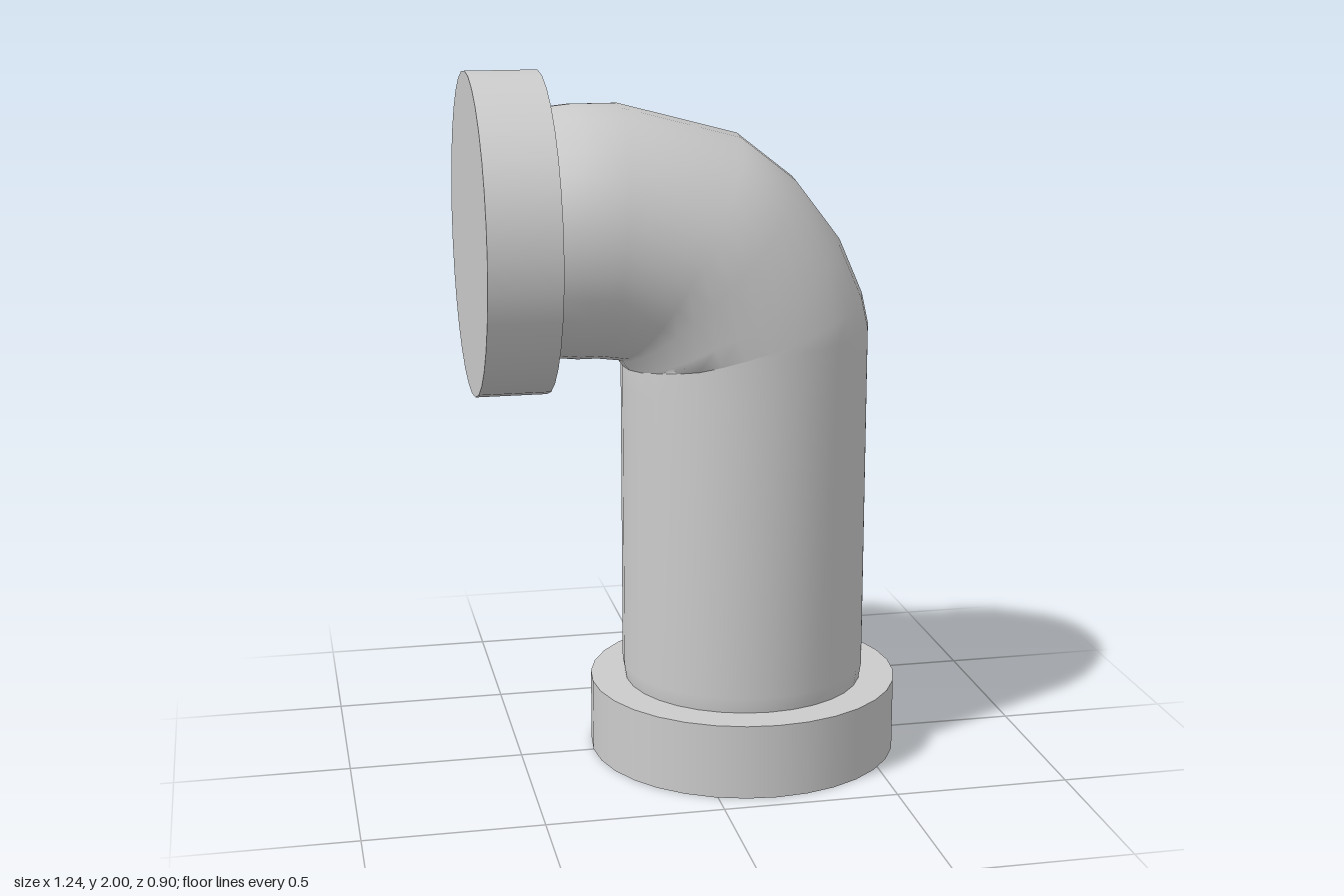
import * as THREE from 'three';

const SIDES = 32;

// Cross-sections of the pipe: outer edge x, y, tilt of the ring in degrees, radius
const RINGS = [
  [0.50, 0.12, 0, 0.335],
  [0.513, 0.215, 0, 0.348],
  [0.52, 0.26, 0, 0.355],
  [0.52, 1.10, 0, 0.355],
  [0.52, 1.27, 4, 0.356],
  [0.50, 1.36, 17, 0.357],
  [0.43, 1.52, 31, 0.358],
  [0.30, 1.69, 45, 0.358],
  [0.14, 1.815, 61, 0.36],
  [-0.20, 1.905, 84, 0.358],
  [-0.33, 1.905, 90, 0.356],
  [-0.42, 1.896, 90, 0.347],
  [-0.50, 1.885, 90, 0.335],
];

// Pipe skin swept through the tilted rings
function bentPipe() {
  const positions = [], index = [];
  RINGS.forEach(([ox, oy, tilt, r], i) => {
    const t = THREE.MathUtils.degToRad(tilt);
    const nx = Math.cos(t), ny = Math.sin(t);
    for (let j = 0; j < SIDES; j++) {
      const a = (j / SIDES) * Math.PI * 2;
      const d = r * (Math.cos(a) - 1);
      positions.push(ox + nx * d, oy + ny * d, r * Math.sin(a));
      if (i === RINGS.length - 1) continue;
      const k = (j + 1) % SIDES;
      const p = i * SIDES + j, q = i * SIDES + k;
      index.push(p, p + SIDES, q, q, p + SIDES, q + SIDES);
    }
  });
  const geometry = new THREE.BufferGeometry();
  geometry.setAttribute('position', new THREE.Float32BufferAttribute(positions, 3));
  geometry.setIndex(index);
  geometry.computeVertexNormals();
  return geometry;
}

export function createModel() {
  const group = new THREE.Group();
  group.name = 'elbowPipe';
  const material = new THREE.MeshStandardMaterial({ color: 0xcccccc });
  const pipeMaterial = new THREE.MeshStandardMaterial({ color: 0xcccccc, side: THREE.DoubleSide });

  const add = (name, geometry, mat = material) => {
    const mesh = new THREE.Mesh(geometry, mat);
    mesh.name = name;
    group.add(mesh);
    return mesh;
  };

  add('pipe', bentPipe(), pipeMaterial);

  // Collar standing on the ground
  add('bottomFlange', new THREE.CylinderGeometry(0.45, 0.45, 0.215, SIDES))
    .position.set(0.165, 0.1075, 0);

  // Collar closing the horizontal end
  const side = add('sideFlange', new THREE.CylinderGeometry(0.45, 0.45, 0.2, SIDES));
  side.rotation.z = Math.PI / 2;
  side.position.set(-0.52, 1.55, 0);

  return group;
}
